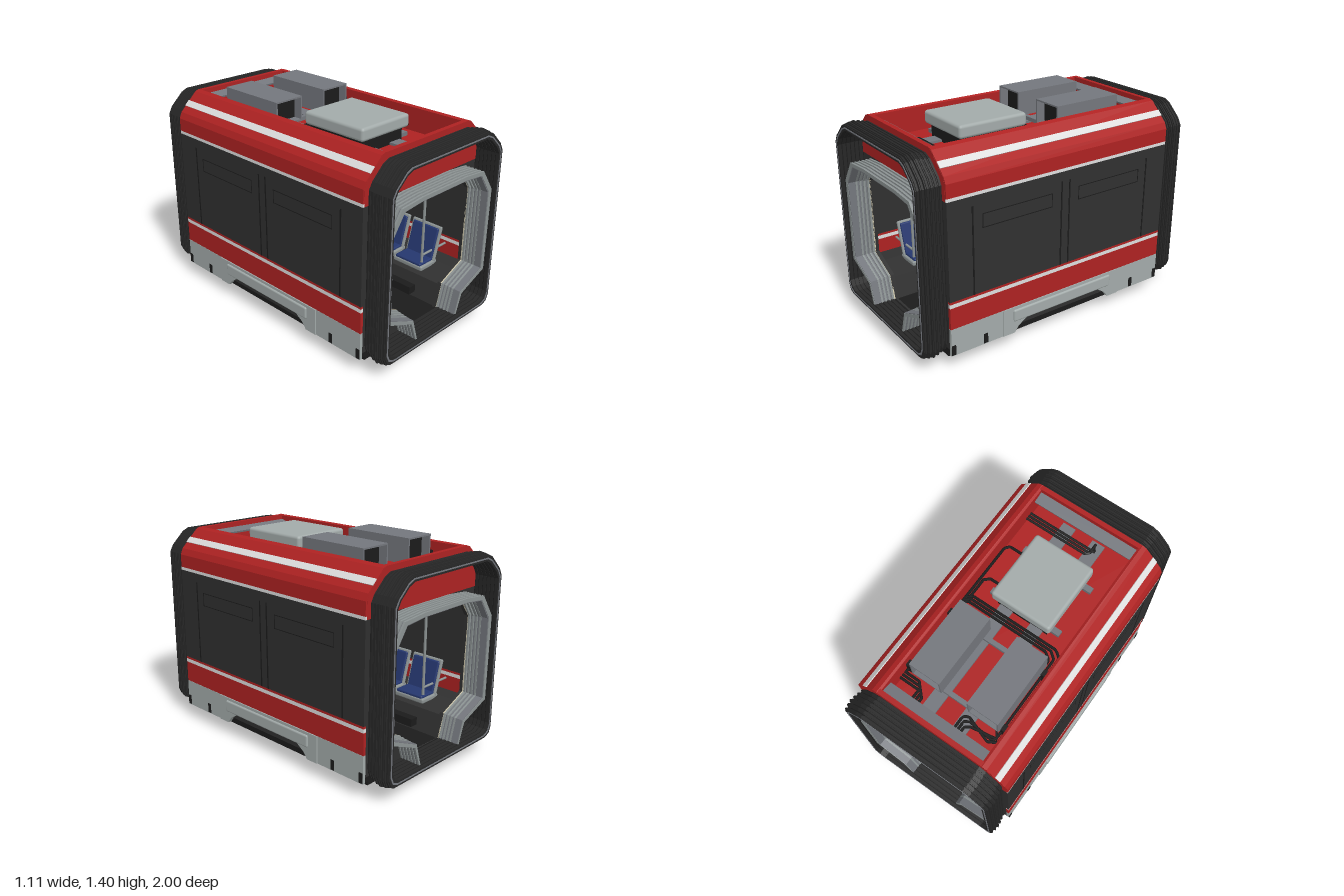
import * as THREE from 'three';
import { RoundedBoxGeometry } from 'three/addons/geometries/RoundedBoxGeometry.js';

const material = (name, color) => {
  const m = new THREE.MeshStandardMaterial({ color });
  m.name = name;
  return m;
};

const MAT = {
  red: material('red paint', 0xae2222),
  white: material('white stripe', 0xdedede),
  dark: material('dark glazing', 0x303030),
  black: material('black', 0x1b1b1b),
  rubber: material('bellows rubber', 0x272727),
  light: material('light grey', 0xa3abaa),
  grey: material('equipment grey', 0x74777d),
  steel: material('steel grey', 0x8c9393),
  blue: material('seat blue', 0x25376f),
  cream: material('cream trim', 0xcdc6ab),
};

export function createModel() {
  const root = new THREE.Group();
  root.name = 'tramSection';
  const SIDES = [1, -1];

  const add = (name, mat, geo, x = 0, y = 0, z = 0) => {
    const mesh = new THREE.Mesh(geo, mat);
    mesh.name = name;
    mesh.position.set(x, y, z);
    root.add(mesh);
    return mesh;
  };
  // Box from its min and max on each axis
  const box = (name, mat, [x0, x1], [y0, y1], [z0, z1], radius = 0) => {
    const d = [Math.abs(x1 - x0), y1 - y0, Math.abs(z1 - z0)];
    const geo = radius ? new RoundedBoxGeometry(...d, 2, radius) : new THREE.BoxGeometry(...d);
    return add(name, mat, geo, (x0 + x1) / 2, (y0 + y1) / 2, (z0 + z1) / 2);
  };
  const toShape = (pts, hole) => {
    const shape = new THREE.Shape(pts.map(p => new THREE.Vector2(...p)));
    if (hole) shape.holes.push(new THREE.Path(hole.map(p => new THREE.Vector2(...p))));
    return shape;
  };
  // Outline in x,y pulled along z
  const alongZ = (name, mat, pts, z0, z1, hole) =>
    add(name, mat, new THREE.ExtrudeGeometry(toShape(pts, hole), { depth: z1 - z0, bevelEnabled: false }), 0, 0, z0);
  // Outline in z,y pulled along x
  const alongX = (name, mat, pts, x0, x1, hole) => {
    const geo = new THREE.ExtrudeGeometry(toShape(pts, hole), { depth: x1 - x0, bevelEnabled: false });
    return add(name, mat, geo.rotateY(-Math.PI / 2), x1, 0, 0);
  };
  const flip = pts => pts.map(([x, y]) => [-x, y]);
  const mirrored = half => [...half, ...flip(half).reverse()];
  const rect = (a0, a1, b0, b1) => [[a0, b0], [a1, b0], [a1, b1], [a0, b1]];
  const rod = (name, mat, a, b, r, sides = 10) => {
    const va = new THREE.Vector3(...a), vb = new THREE.Vector3(...b);
    const mesh = add(name, mat, new THREE.CylinderGeometry(r, r, va.distanceTo(vb), sides));
    mesh.position.copy(va).lerp(vb, 0.5);
    mesh.quaternion.setFromUnitVectors(new THREE.Vector3(0, 1, 0), vb.sub(va).normalize());
  };

  // Body sides: horizontal bands of colour
  const L = 0.83;
  const bands = [
    ['lowerSide', MAT.red, 0.29, 0.43], ['lowerStripe', MAT.white, 0.43, 0.455],
    ['sill', MAT.red, 0.455, 0.47], ['windowBand', MAT.dark, 0.47, 1.09],
    ['upperStripe', MAT.white, 1.09, 1.11],
  ];
  const skirt = e => mirrored([[0.29, 0.19], [0.35, 0.15], [0.38, 0.11], [e, 0.11], [e, 0.29]]);
  const cowl = [[0.54, 1.11], [0.54, 1.195], [0.522, 1.235], [0.4, 1.352], [0.37, 1.362], [0.355, 1.355], [0.355, 1.11]];
  const stripe = [[0.4855, 1.27], [0.454, 1.3], [0.458, 1.304], [0.4895, 1.274]];
  for (const s of SIDES) {
    const span = (a, b) => s > 0 ? [a, b] : [-b, -a];
    for (const [name, mat, y0, y1] of bands) box(name, mat, span(0.52, 0.54), [y0, y1], [-L, L]);
    alongZ('roofCowl', MAT.red, s > 0 ? cowl : flip(cowl), -L, L);
    alongZ('roofStripe', MAT.white, s > 0 ? stripe : flip(stripe), -L, L);
    // Window seams and hopper frames
    for (const z of [0.665, 0.03, -0.03, -0.665])
      box('windowSeam', MAT.black, span(0.538, 0.542), [0.47, 1.03], [z - 0.005, z + 0.005]);
    for (const z of [0.35, -0.35])
      alongX('hopperFrame', MAT.black, rect(z - 0.25, z + 0.25, 0.88, 0.97), ...span(0.538, 0.5415),
        rect(z - 0.245, z + 0.245, 0.885, 0.965));
    // Skirt with bogie cut-out, cover panel and slots
    alongX('skirt', MAT.light, skirt(L), ...span(0.52, 0.541));
    alongX('bogieCover', MAT.light, skirt(0.465), ...span(0.525, 0.547));
    box('coverBar', MAT.light, span(0.52, 0.557), [0.19, 0.272], [-0.39, 0.39], 0.012);
    for (const z of [0.815, 0.59, -0.59, -0.815])
      box('skirtSlot', MAT.black, span(0.538, 0.544), [0.115, 0.18], [z - 0.014, z + 0.014]);
  }

  // Floor, underside, roof deck and ceiling
  box('underside', MAT.black, [-0.5, 0.5], [0.09, 0.115], [-L, L]);
  box('floor', MAT.black, [-0.52, 0.52], [0.115, 0.145], [-L, L]);
  box('roofDeck', MAT.red, [-0.36, 0.36], [1.18, 1.2], [-L + 0.01, L - 0.01]);
  box('ceiling', MAT.steel, [-0.5, 0.5], [1.095, 1.11], [-0.8, 0.8]);

  // End walls, bellows and inner gangway lining
  const opening = [[0.175, 0.145], [0.22, 0.31], [0.42, 0.4], [0.425, 0.91], [0.34, 1.035], [0.2, 1.05]];
  const liningOut = [[0.2, 0.155], [0.245, 0.285], [0.465, 0.375], [0.475, 0.93], [0.375, 1.075], [0.2, 1.09]];
  const endTop = [[0.53, 1.09], [0.53, 1.195], [0.515, 1.235], [0.395, 1.35], [0.37, 1.36]];
  const outline = o => {
    const x = 0.5 + o, b = 0.13 - o, t = 1.32 + o, h = o / 2;
    return mirrored([[x - 0.06, b], [x - 0.018, b + 0.018], [x, b + 0.06], [x, 1.18 + h], [x - 0.025, 1.225 + h],
      [0.395 + h, t - 0.02], [0.35 + h, t]]);
  };
  const grow = k => [...opening.map(([x, y], i) => [
    x + (liningOut[i][0] - x) * k, y + (liningOut[i][1] - y) * k])];
  const liningLoop = (k0, k1) => [...mirrored(grow(k1)), ...mirrored(grow(k0)).reverse()];
  for (const s of SIDES) {
    const z = (name, mat, pts, a, b, hole) => alongZ(name, mat, pts, s > 0 ? a : -b, s > 0 ? b : -a, hole);
    z('endHeader', MAT.red, mirrored(endTop), 0.8, 0.831);
    z('endWall', MAT.dark, rect(-0.53, 0.53, 0.115, 1.09), 0.8, 0.828, mirrored(opening));
    z('bellowsCore', MAT.black, outline(-0.002), 0.82, 0.995, outline(-0.022));
    [0.008, 0.014, 0.02, 0.024, 0.02, 0.014].forEach((o, i) => {
      const a = 0.834 + i * 0.028;
      z('bellowsFold', MAT.rubber, outline(o - 0.006), a, a + 0.022, outline(-0.025));
      z('bellowsFoldEdge', MAT.rubber, outline(o), a + 0.006, a + 0.016, outline(-0.02));
    });
    z('bellowsRim', MAT.grey, outline(-0.004), 0.99, 0.999, outline(-0.012));
    // Ribbed lining
    z('liningBacking', MAT.grey, liningLoop(0.3, 0.8), 0.82, 0.965);
    for (let i = 0; i < 6; i++)
      z('liningRib', MAT.steel, liningLoop(0.02 + 0.08 * i, 1), 0.83 + i * 0.025, 0.843 + i * 0.025);
    z('liningTrim', MAT.cream, liningLoop(0, 0.16), 0.822, 0.83);
  }

  // Interior: plinths, seats, coves and poles
  const plinth = [[0.185, 0.145], [0.225, 0.29], [0.4, 0.33], [0.525, 0.33], [0.525, 0.145]];
  const cove = [[0.37, 1.1], [0.525, 1.0], [0.525, 1.1]];
  for (const s of SIDES) {
    const side = pts => s > 0 ? pts : flip(pts);
    alongZ('seatPlinth', MAT.dark, side(plinth), -0.8, 0.8);
    alongZ('footLedge', MAT.black, side([[0.18, 0.24], [0.125, 0.24], [0.12, 0.19], [0.18, 0.19]]), -0.65, 0.65);
    alongZ('ceilingCove', MAT.steel, side(cove), -0.8, 0.8);
    for (let i = -2; i <= 2; i++) {
      const z = i * 0.265;
      box('seatBase', MAT.steel, [s * 0.235, s * 0.4], [0.31, 0.345], [z - 0.12, z + 0.12], 0.012);
      box('seatCushion', MAT.blue, [s * 0.24, s * 0.39], [0.335, 0.36], [z - 0.105, z + 0.105], 0.01);
      for (const [name, mat, w, h, dx] of [['seatShell', MAT.steel, 0.24, 0.24, 0.012], ['seatBack', MAT.blue, 0.21, 0.215, 0]]) {
        const back = add(name, mat, new RoundedBoxGeometry(0.022, h, w, 2, 0.01), s * (0.395 + dx), 0.45, z);
        back.rotation.z = -s * 0.28;
      }
    }
    for (const z of [0.62, -0.62]) {
      rod('grabPole', MAT.steel, [s * 0.275, 0.29, z], [s * 0.275, 1.1, z], 0.009);
      rod('poleBar', MAT.steel, [s * 0.275, 0.41, z], [s * 0.52, 0.41, z], 0.008);
    }
    rod('aislePole', MAT.steel, [s * 0.217, 0.26, 0], [s * 0.217, 1.1, 0], 0.009);
  }

  // Roof equipment
  for (const x of [-0.205, 0.2]) {
    const w = 0.107;
    alongZ('roofDuct', MAT.grey, rect(x - w, x + w, 1.25, 1.41), -0.6, -0.11,
      rect(x - w + 0.01, x + w - 0.01, 1.26, 1.4));
    box('ductInside', MAT.black, [x - w + 0.005, x + w - 0.005], [1.255, 1.405], [-0.54, -0.17]);
  }
  for (const x of [-0.115, 0.105]) box('deckRail', MAT.grey, [x - 0.045, x + 0.045], [1.2, 1.215], [-0.76, 0.76]);
  for (const z of [-0.57, -0.17]) {
    box('ductCrossbar', MAT.grey, [-0.355, 0.355], [1.225, 1.25], [z - 0.015, z + 0.015]);
    for (const s of SIDES) box('ductBracket', MAT.black, [s * 0.32, s * 0.36], [1.2, 1.3], [z - 0.02, z + 0.02]);
  }
  box('coolerBase', MAT.black, [-0.19, 0.17], [1.2, 1.3], [0.07, 0.49]);
  box('coolerUnit', MAT.light, [-0.22, 0.2], [1.29, 1.375], [0.04, 0.525], 0.02);
  for (const z of [0.11, 0.455]) box('coolerFoot', MAT.grey, [-0.26, 0.245], [1.21, 1.235], [z - 0.02, z + 0.02]);
  for (const s of SIDES)
    add('roofEndPlate', MAT.grey, new THREE.BoxGeometry(0.72, 0.012, 0.085), 0, 1.315, s * 0.77).rotation.x = -s * 0.25;

  // Roof pipes, given as x,z corners
  const pipe = corners => {
    const path = new THREE.CurvePath();
    const v = corners.map(([x, z]) => new THREE.Vector3(x, 1.245, z));
    for (let i = 1; i < v.length; i++) path.add(new THREE.LineCurve3(v[i - 1], v[i]));
    add('roofPipe', MAT.black, new THREE.TubeGeometry(path, 90, 0.009, 6));
  };
  for (let i = 0; i < 3; i++) {
    const d = i * 0.022;
    pipe([[-0.09 - d, -0.75], [-0.09 - d, -0.64 - d], [-0.12 - d, -0.62 - d], [-0.29 - d, -0.68 + d], [-0.345 + d, -0.65 + d],
      [-0.345 + d, -0.03 - d], [-0.3 + d, 0.005 - d], [0.31, 0.005 - d], [0.345, -0.03 - d]]);
    pipe([[0.17 + d, -0.75], [0.17 + d, -0.69 + d], [0.2 + d, -0.66 + d], [0.35, -0.66 + d]]);
    pipe([[0.35, 0.635 + d], [-0.09 - d, 0.635 + d], [-0.11, 0.66 + d], [-0.11, 0.73]]);
  }
  pipe([[0.343, -0.62], [0.343, 0.38], [0.32, 0.41], [0.18, 0.41]]);
  pipe([[0.322, -0.02], [0.322, 0.13], [0.29, 0.16], [0.18, 0.16]]);

  // Bogie: wheels, axles, frames and track brakes
  const frame = mirrored([[0.1, 0.09], [0.2, 0.075], [0.27, 0.1], [0.34, 0.07], [0.42, 0.08], [0.43, 0.13], [0.37, 0.185], [0.25, 0.19], [0.1, 0.2]]);
  const brake = mirrored([[0.2, 0.008], [0.24, 0.015], [0.25, 0.045], [0.22, 0.05]]);
  for (const s of SIDES) {
    const span = (a, b) => s > 0 ? [a, b] : [-b, -a];
    alongX('bogieFrame', MAT.black, frame, ...span(0.375, 0.44));
    alongX('trackBrake', MAT.black, brake, ...span(0.315, 0.36));
    box('brakeHanger', MAT.black, span(0.33, 0.43), [0.045, 0.1], [-0.1, 0.1]);
    for (const z of [0.38, -0.38]) {
      rod('wheelTread', MAT.steel, [s * 0.32, 0.108, z], [s * 0.355, 0.108, z], 0.09, 32);
      rod('wheelFlange', MAT.steel, [s * 0.31, 0.108, z], [s * 0.322, 0.108, z], 0.1, 32);
      rod('wheelHub', MAT.black, [s * 0.305, 0.108, z], [s * 0.358, 0.108, z], 0.07, 24);
      rod('axleBox', MAT.black, [s * 0.35, 0.108, z], [s * 0.43, 0.108, z], 0.045, 16);
    }
  }
  for (const z of [0.38, -0.38]) rod('axle', MAT.black, [-0.32, 0.1, z], [0.32, 0.1, z], 0.018);
  for (const z of [0.16, -0.16]) rod('bogieTransom', MAT.black, [-0.4, 0.085, z], [0.4, 0.085, z], 0.022);

  return root;
}
